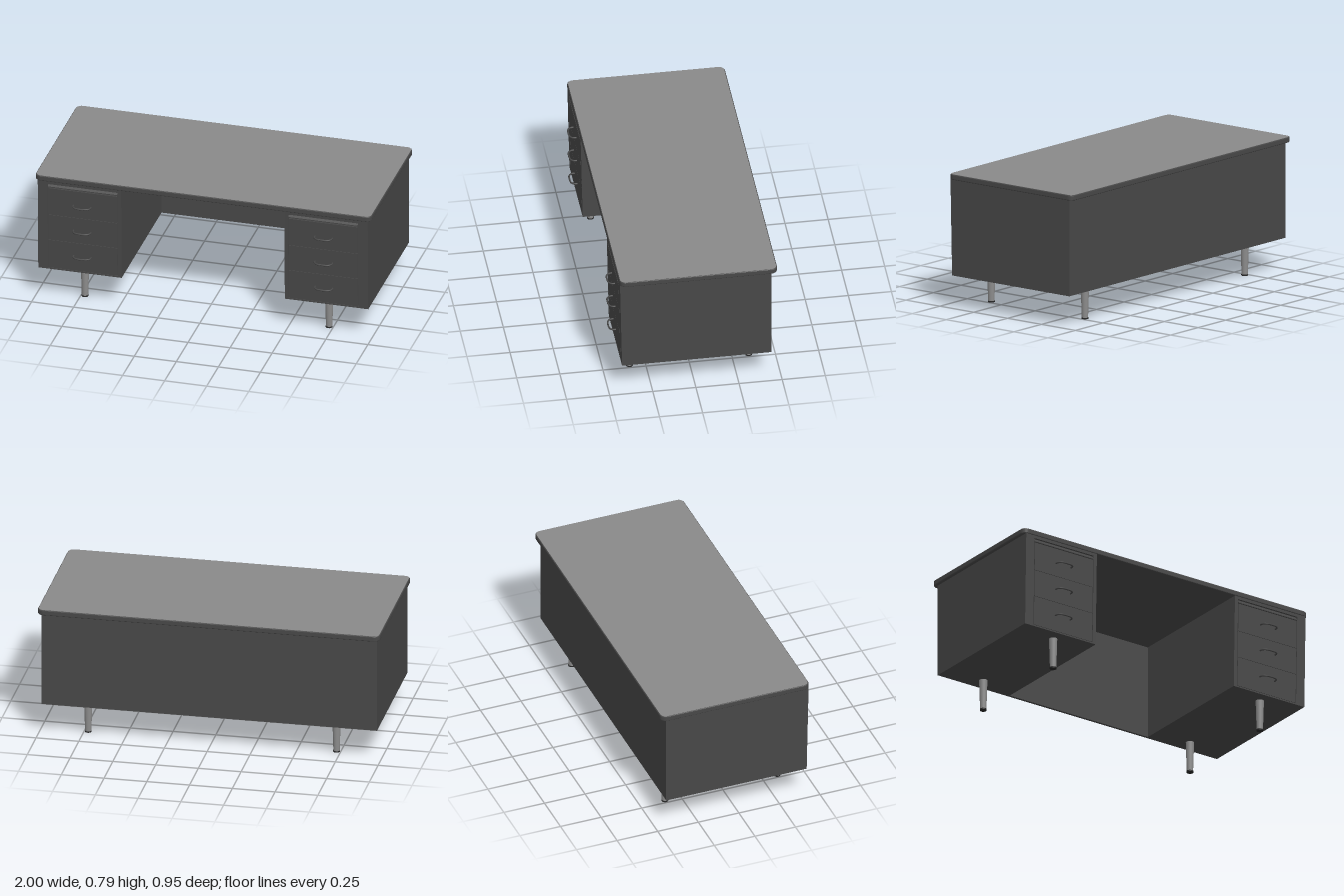
import * as THREE from 'three';

const bodyPaint = new THREE.MeshStandardMaterial({ color: 0x484848 });
const topLaminate = new THREE.MeshStandardMaterial({ color: 0x8a8a8a });
const legMetal = new THREE.MeshStandardMaterial({ color: 0x8c8c8c });
const footRubber = new THREE.MeshStandardMaterial({ color: 0x262626 });
bodyPaint.name = 'body paint';
topLaminate.name = 'top laminate';
legMetal.name = 'leg metal';
footRubber.name = 'foot rubber';

const BASE = 0.188, UNDER = 0.757, TOP = 0.787;   // heights of the cabinet and desktop
const FRONT = 0.425, BACK = -0.44;                // cabinet depth at its base
const INNER = 0.485, OUTER = 0.981;               // pedestal sides
const RUN = 0.012, RISE = UNDER - BASE;           // slope of the pedestal fronts
const SKIN = 0.012;                               // depth of the front frame

function mesh(name, geometry, material, parent) {
  const m = new THREE.Mesh(geometry, material);
  m.name = name;
  parent.add(m);
  return m;
}

function rect(x0, y0, x1, y1, Type = THREE.Shape) {
  const s = new Type();
  s.moveTo(x0, y0);
  s.lineTo(x1, y0);
  s.lineTo(x1, y1);
  s.lineTo(x0, y1);
  s.closePath();
  return s;
}

function roundedRect(x0, y0, x1, y1, r) {
  const s = new THREE.Shape();
  s.absarc(x1 - r, y0 + r, r, -Math.PI / 2, 0);
  s.absarc(x1 - r, y1 - r, r, 0, Math.PI / 2);
  s.absarc(x0 + r, y1 - r, r, Math.PI / 2, Math.PI);
  s.absarc(x0 + r, y0 + r, r, Math.PI, Math.PI * 1.5);
  s.closePath();
  return s;
}

// Horizontal slab with rounded corners, its underside at height y
function slab(inset, y, height, bevel) {
  const e = inset + bevel;
  const g = new THREE.ExtrudeGeometry(roundedRect(-1 + e, -0.44 + e, 1 - e, 0.475 - e, 0.03), {
    depth: height - 2 * bevel, bevelEnabled: bevel > 0, bevelSize: bevel,
    bevelThickness: bevel, bevelSegments: 3, curveSegments: 8,
  });
  return g.rotateX(-Math.PI / 2).translate(0, y + bevel, 0);
}

// Bowed drawer pull
function pullGeometry() {
  const curve = new THREE.CatmullRomCurve3([
    [-0.052, -0.004], [-0.05, 0.018], [-0.034, 0.034], [0, 0.038],
    [0.034, 0.034], [0.05, 0.018], [0.052, -0.004],
  ].map(([x, z]) => new THREE.Vector3(x, 0, z)));
  return new THREE.TubeGeometry(curve, 28, 0.005, 8);
}

function pedestal(side) {
  const g = new THREE.Group();
  g.name = side > 0 ? 'leftPedestal' : 'rightPedestal';

  // Cabinet block with a sloping front, drawn in side profile
  const profile = new THREE.Shape();
  profile.moveTo(-(FRONT - SKIN), BASE);
  profile.lineTo(-BACK, BASE);
  profile.lineTo(-BACK, UNDER);
  profile.lineTo(-(FRONT + RUN - SKIN), UNDER);
  profile.closePath();
  const block = new THREE.ExtrudeGeometry(profile, { depth: OUTER - INNER, bevelEnabled: false });
  block.rotateY(Math.PI / 2).translate(side > 0 ? INNER : -OUTER, 0, 0);
  mesh('cabinet', block, bodyPaint, g);

  // Front face, tilted with the slope
  const face = new THREE.Group();
  face.name = 'drawerFace';
  face.position.set(side * (INNER + OUTER) / 2, BASE, FRONT - SKIN);
  face.rotation.x = Math.atan2(RUN, RISE);
  g.add(face);

  const half = (OUTER - INNER) / 2, hole = 0.208, bottom = 0.008, head = 0.55;
  const shift = -side * 0.018;
  const frame = rect(-half, 0, half, RISE);
  frame.holes.push(rect(shift - hole, bottom, shift + hole, head, THREE.Path));
  mesh('frontFrame', new THREE.ExtrudeGeometry(frame, { depth: SKIN, bevelEnabled: false }), bodyPaint, face);

  // Three drawers and their pulls
  const levels = [bottom + 0.002, 0.19, 0.353, 0.526];
  for (let i = 0; i < 3; i++) {
    const h = levels[i + 1] - levels[i] - 0.002;
    const drawer = mesh('drawerFront', new THREE.BoxGeometry(2 * hole - 0.008, h, SKIN), bodyPaint, face);
    drawer.position.set(shift, levels[i] + h / 2, SKIN / 2);
    const pull = mesh('drawerPull', pullGeometry(), bodyPaint, face);
    pull.position.set(-side * 0.015, [0.106, 0.27, 0.432][i], SKIN);
  }

  // Pull-out writing board above the drawers, with a chamfered upper edge
  const lip = new THREE.Shape();
  lip.moveTo(0, 0.529);
  lip.lineTo(-SKIN, 0.529);
  lip.lineTo(-SKIN, 0.535);
  lip.lineTo(0, 0.546);
  lip.closePath();
  const width = 2 * hole - 0.004;
  const board = new THREE.ExtrudeGeometry(lip, { depth: width, bevelEnabled: false });
  board.rotateY(Math.PI / 2).translate(shift - width / 2, 0, 0);
  mesh('writingBoard', board, bodyPaint, face);

  // Tapered legs
  for (const z of [0.343, -0.348]) {
    const leg = new THREE.Group();
    leg.name = z > 0 ? 'frontLeg' : 'backLeg';
    leg.position.set(side * 0.726, 0, z);
    mesh('legShaft', new THREE.CylinderGeometry(0.024, 0.0185, 0.18, 20).translate(0, 0.098, 0), legMetal, leg);
    mesh('foot', new THREE.CylinderGeometry(0.02, 0.02, 0.008, 20).translate(0, 0.004, 0), footRubber, leg);
    g.add(leg);
  }
  return g;
}

export function createModel() {
  const desk = new THREE.Group();
  desk.name = 'desk';

  // Desktop: dark rim with a pale writing surface
  mesh('desktopRim', slab(0, UNDER - 0.003, TOP - UNDER + 0.002, 0.006), bodyPaint, desk);
  mesh('desktopSurface', slab(0.005, TOP - 0.003, 0.003, 0), topLaminate, desk);

  // Back panel closing the knee space
  const panel = mesh('backPanel', new THREE.BoxGeometry(2 * INNER, RISE, 0.015), bodyPaint, desk);
  panel.position.set(0, (BASE + UNDER) / 2, BACK + 0.0075);

  for (const side of [1, -1]) desk.add(pedestal(side));
  return desk;
}
